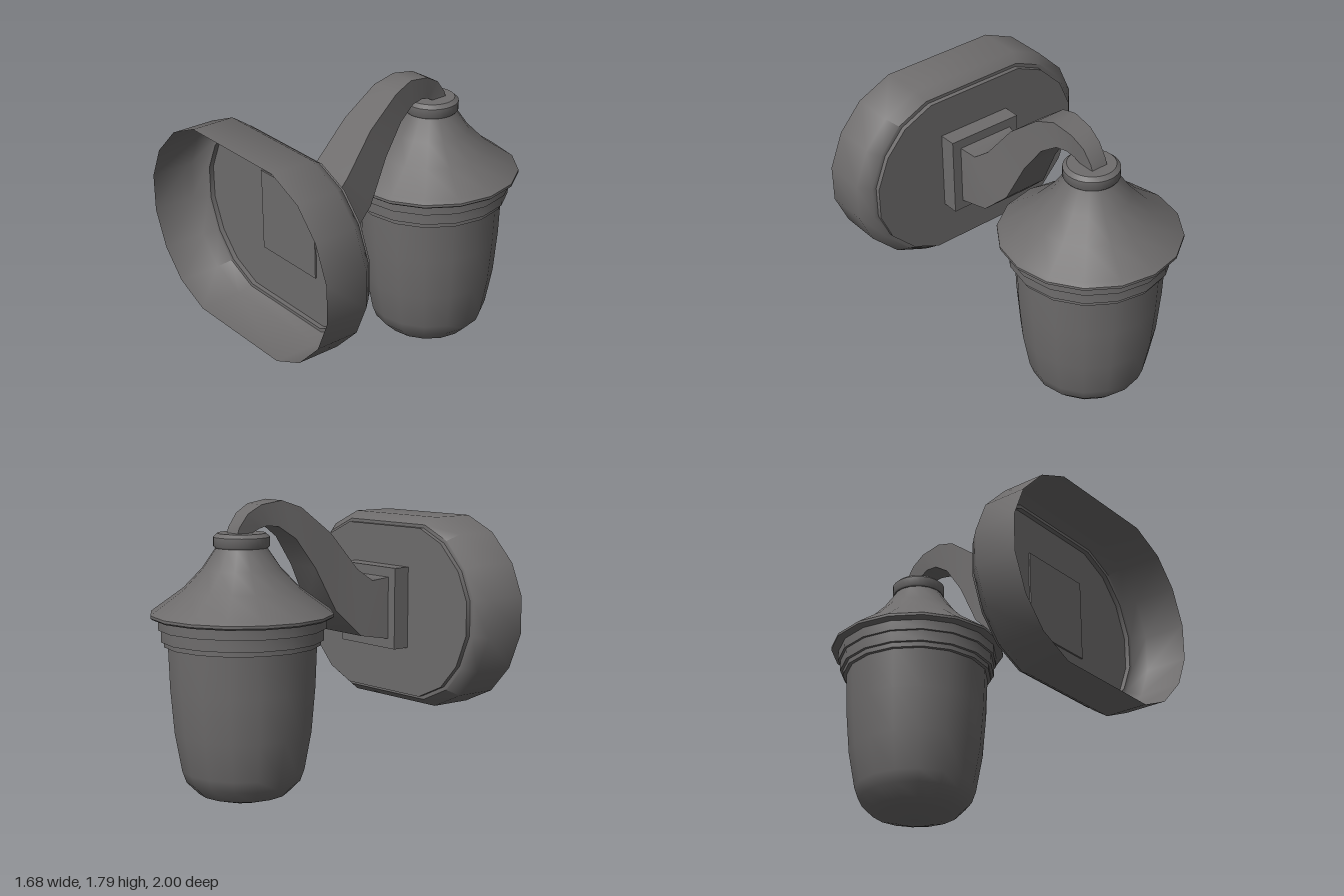
import * as THREE from 'three';
import { toCreasedNormals } from 'three/addons/utils/BufferGeometryUtils.js';

const metal = new THREE.MeshStandardMaterial({ color: 0x6e6c6c, side: THREE.DoubleSide });
metal.name = 'dark grey metal';

const crease = (geometry, degrees) => toCreasedNormals(geometry, THREE.MathUtils.degToRad(degrees));

function part(name, geometry, x = 0, y = 0, z = 0) {
  const mesh = new THREE.Mesh(geometry, metal);
  mesh.name = name;
  mesh.position.set(x, y, z);
  return mesh;
}

// Skin over closed cross-sections of equal length, running from front to back
function loft(sections, startCap, endCap) {
  const n = sections[0].length;
  const last = (sections.length - 1) * n;
  const index = [];
  for (let k = 0; k < sections.length - 1; k++) {
    for (let i = 0; i < n; i++) {
      const j = (i + 1) % n;
      const a = k * n + i, b = k * n + j, c = b + n, d = a + n;
      index.push(a, d, b, b, d, c);
    }
  }
  for (let i = 1; i < n - 1; i++) {
    if (startCap) index.push(0, i, i + 1);
    if (endCap) index.push(last, last + i + 1, last + i);
  }
  const geometry = new THREE.BufferGeometry();
  geometry.setAttribute('position', new THREE.Float32BufferAttribute(sections.flat(2), 3));
  geometry.setIndex(index);
  return geometry;
}

function turned(name, profile, sides) {
  const points = profile.map(([r, y]) => new THREE.Vector2(r, y));
  return part(name, crease(new THREE.LatheGeometry(points, sides), 40), 0.02, 0, -0.455);
}

export function createModel() {
  const model = new THREE.Group();
  model.name = 'wallLantern';

  // Hollow wall plate, open towards the wall
  const half = [[0.84, 0.1], [0.75, 0.32], [0.6, 0.485], [0.38, 0.585],
    [-0.37, 0.59], [-0.58, 0.5], [-0.755, 0.325], [-0.84, 0.13]];
  const outline = [...half, ...half.map(([x, y]) => [-x, -y])];
  const rings = [[1, 1], [0.73, 1], [0.66, 0.923], [0.66, 0.89], [0.63, 0.89]];
  const plate = rings.map(([z, s]) => outline.map(([x, y]) => [x * s, 1.072 + y * s, z]));
  model.add(part('wallPlate', crease(loft(plate, false, true), 50)));

  // Square block that carries the arm
  model.add(part('armMount', new THREE.BoxGeometry(0.5, 0.505, 0.12), 0.02, 1.0975, 0.58));

  // Tapering swan-neck arm: upper z, upper y, lower z, lower y, half width
  const armSections = [
    [0.52, 1.29, 0.52, 0.905, 0.19],
    [0.41, 1.275, 0.32, 0.94, 0.17],
    [0.31, 1.35, 0.14, 1.11, 0.145],
    [0.12, 1.58, 0, 1.38, 0.12],
    [-0.09, 1.745, -0.13, 1.56, 0.1],
    [-0.22, 1.79, -0.24, 1.635, 0.08],
    [-0.36, 1.77, -0.32, 1.645, 0.07],
    [-0.45, 1.72, -0.37, 1.63, 0.06],
    [-0.51, 1.64, -0.41, 1.61, 0.055],
    [-0.53, 1.58, -0.42, 1.58, 0.055],
  ].map(([uz, uy, lz, ly, w]) => [
    [0.02 + w, ly, lz], [0.02 + w, uy, uz], [0.02 - w, uy, uz], [0.02 - w, ly, lz],
  ]);
  model.add(part('arm', crease(loft(armSections, true, true), 45)));

  // Rounded shade
  model.add(turned('shade', [[0, 0], [0.15, 0.018], [0.27, 0.055], [0.345, 0.13], [0.37, 0.2],
    [0.412, 0.43], [0.435, 0.7], [0.445, 0.96]], 16));

  // Stepped collar under the roof
  model.add(turned('collar', [[0.43, 0.95], [0.467, 0.95], [0.467, 0.98], [0.485, 0.98],
    [0.485, 1.05], [0.5, 1.05], [0.5, 1.115]], 16));

  // Flared roof with a rolled rim
  model.add(turned('roof', [[0.48, 1.112], [0.532, 1.112], [0.545, 1.122], [0.545, 1.138],
    [0.52, 1.157], [0.35, 1.28], [0.235, 1.4], [0.16, 1.51], [0.15, 1.53]], 16));

  // Cap ring at the end of the arm
  model.add(turned('cap', [[0.14, 1.522], [0.158, 1.522], [0.166, 1.532], [0.166, 1.585],
    [0.142, 1.607], [0, 1.607]], 32));

  return model;
}
